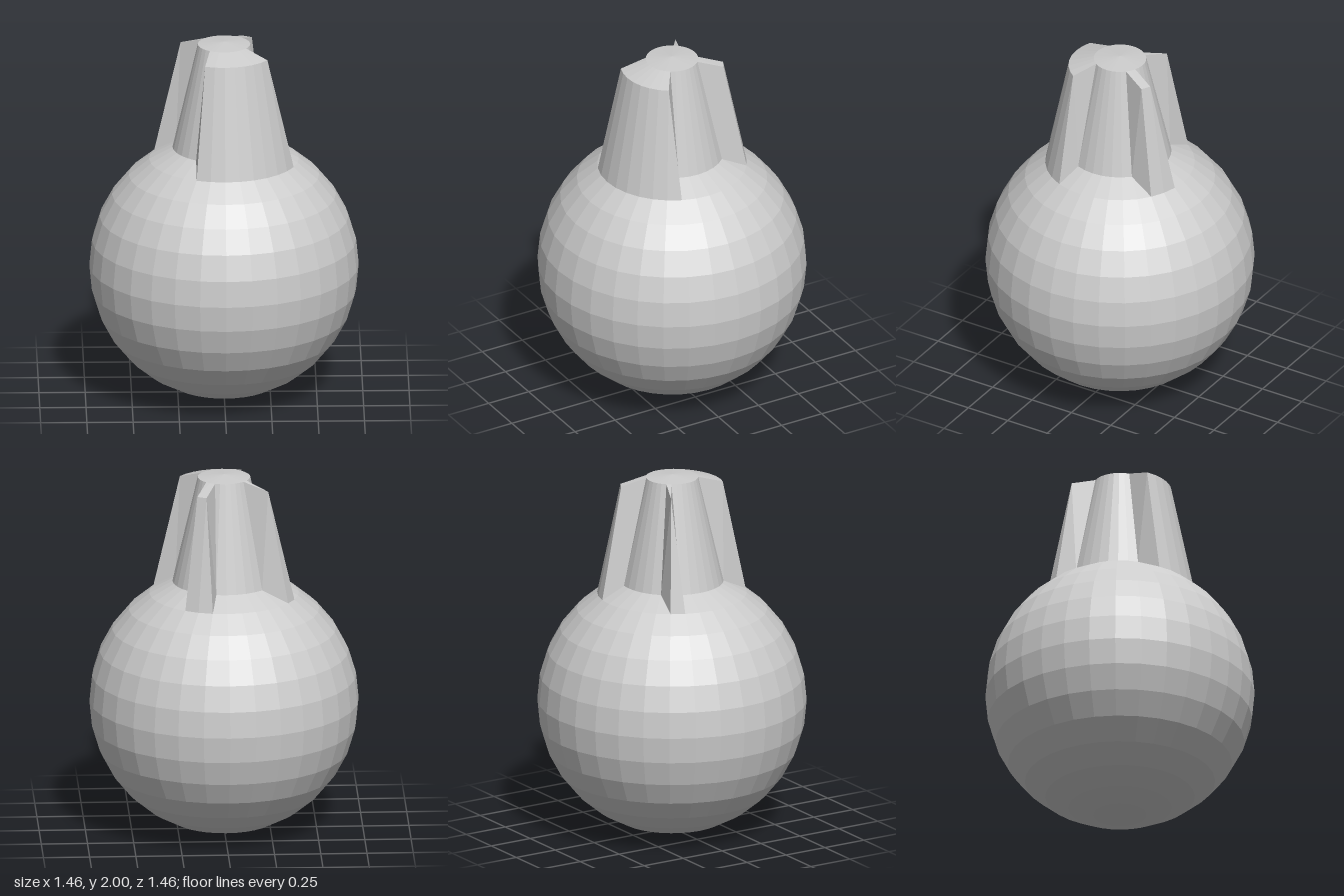
import * as THREE from 'three';

const RADIUS = 0.728;
const SEGMENTS = 32;
const RINGS = 16;
const LIFT = 2 - 2 * RADIUS;

// Spokes on the second ring that are pulled up into fins
// (counted from +x towards +z): wide front shell, left fin, back fin
const finSpokes = new Set([3, 4, 5, 6, 7, 8, 9, 10, 19, 26, 27]);

function createFlask() {
  const geometry = new THREE.SphereGeometry(RADIUS, SEGMENTS, RINGS);
  const position = geometry.attributes.position;
  for (let ring = 0; ring <= 2; ring++) {
    for (let i = 0; i <= SEGMENTS; i++) {
      const spoke = (SEGMENTS * 1.5 - i) % SEGMENTS;
      // The cap is raised whole; the ring below it only at the fins
      if (ring < 2 || finSpokes.has(spoke)) {
        const index = ring * (SEGMENTS + 1) + i;
        position.setY(index, position.getY(index) + LIFT);
      }
    }
  }
  geometry.translate(0, RADIUS, 0);
  geometry.computeVertexNormals();
  return geometry;
}

export function createModel() {
  const model = new THREE.Group();
  model.name = 'roundFlask';

  // Round body with its finned neck drawn up out of the same surface
  const material = new THREE.MeshStandardMaterial({ color: 0xcccccc, flatShading: true });
  const body = new THREE.Mesh(createFlask(), material);
  body.name = 'bodyWithFinnedNeck';
  model.add(body);

  return model;
}
